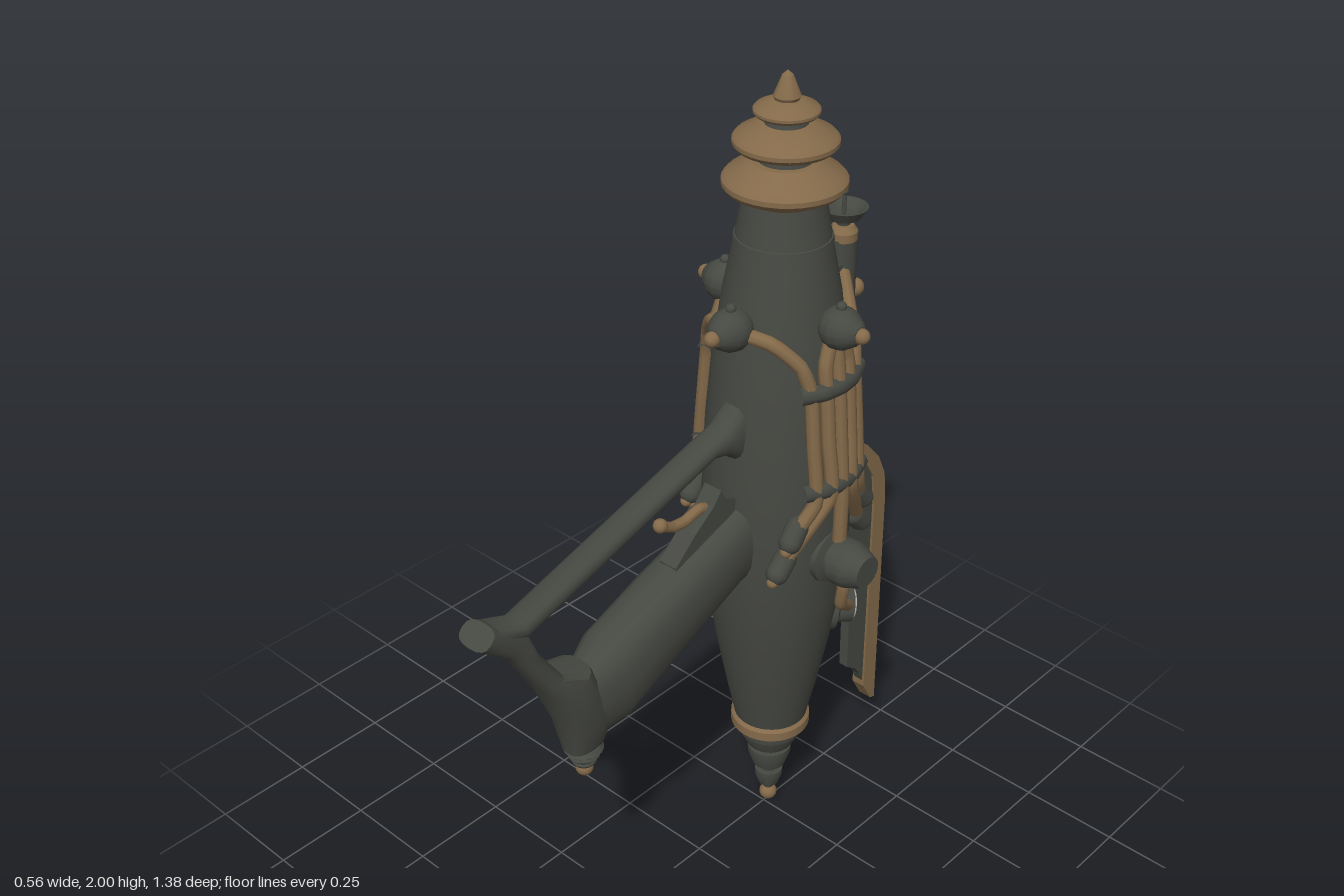
import * as THREE from 'three';
import { toCreasedNormals } from 'three/addons/utils/BufferGeometryUtils.js';

const mat = (name, color, side = THREE.FrontSide) => {
  const m = new THREE.MeshStandardMaterial({ color, side });
  m.name = name;
  return m;
};
const V = (x, y, z) => new THREE.Vector3(x, y, z);

// Hull radius against height
const HULL = [[0.09, 0.3], [0.115, 0.42], [0.143, 0.57], [0.165, 0.72], [0.176, 0.88], [0.176, 1.02],
  [0.169, 1.18], [0.155, 1.34], [0.133, 1.5], [0.107, 1.63], [0.09, 1.73]];
function hullRadius(y) {
  let i = 1;
  while (i < HULL.length - 1 && HULL[i][1] < y) i++;
  const [r0, y0] = HULL[i - 1], [r1, y1] = HULL[i];
  return r0 + (r1 - r0) * (y - y0) / (y1 - y0);
}
// Point near the hull's side, o = offset towards the front, lift = height above the skin
function onHull(s, o, y, lift = 0.015) {
  const r = hullRadius(y) + lift;
  return V(s * Math.sqrt(Math.max(r * r - o * o, 0)), y, o);
}

export function createModel() {
  const dark = mat('gunmetal', 0x464842);
  const brass = mat('brass', 0x846a4a);
  const silver = mat('silver', 0xaaa49f);
  const model = new THREE.Group();
  model.name = 'rayGun';
  const core = new THREE.Group();
  core.name = 'barrelAssembly';
  core.position.z = -0.267;
  model.add(core);

  const add = (parent, name, geo, material) => {
    const m = new THREE.Mesh(geo, material);
    m.name = name;
    parent.add(m);
    return m;
  };
  const lathe = (parent, name, pts, material, seg = 32) =>
    add(parent, name, toCreasedNormals(new THREE.LatheGeometry(pts.map(p => new THREE.Vector2(...p)), seg), 0.5), material);
  const aim = (mesh, pos, dir) => {
    mesh.position.copy(pos);
    mesh.quaternion.setFromUnitVectors(V(0, 1, 0), dir.clone().normalize());
    return mesh;
  };
  const ball = (parent, name, r, pos, material) => {
    const m = add(parent, name, new THREE.SphereGeometry(r, 16, 12), material);
    m.position.copy(pos);
    return m;
  };
  const pipe = (parent, name, pts, r, material) =>
    add(parent, name, new THREE.TubeGeometry(new THREE.CatmullRomCurve3(pts, false, 'catmullrom', 0.25), 28, r, 8), material);

  // Hull and its seam
  lathe(core, 'hull', [[0, 0.3], ...HULL, [0, 1.73]], dark, 40);
  lathe(core, 'hullSeam', [[0.1, 1.622], [0.111, 1.624], [0.109, 1.636], [0.1, 1.638]], dark, 40);

  // Stacked brass discs on the muzzle
  lathe(core, 'muzzleCore', [[0.085, 1.7], [0.06, 1.8], [0.045, 1.9], [0.02, 1.95], [0, 1.95]], dark);
  for (const [y, r, h, neck] of [[1.76, 0.137, 0.045, 0.075], [1.85, 0.115, 0.037, 0.055], [1.915, 0.072, 0.023, 0.035]])
    lathe(core, 'muzzleDisc', [[0, y - h], [neck, y - h], [r * 0.93, y - h * 0.4], [r, y - h * 0.15], [r, y + h * 0.1],
      [r * 0.93, y + h * 0.35], [neck, y + h], [0, y + h]], brass);
  lathe(core, 'muzzleTip', [[0, 1.93], [0.025, 1.935], [0.03, 1.945], [0.012, 1.99], [0, 2]], brass, 20);

  // Stepped tail
  lathe(core, 'tailCollar', [[0, 0.272], [0.092, 0.272], [0.1, 0.278], [0.1, 0.302], [0.092, 0.31], [0, 0.31]], brass);
  lathe(core, 'tailStem', [[0, 0.03], [0.012, 0.04], [0.02, 0.1], [0.035, 0.2], [0.06, 0.275]], dark);
  for (const [y0, y1, r0, r1] of [[0.205, 0.265, 0.06, 0.08], [0.132, 0.19, 0.043, 0.056], [0.06, 0.108, 0.026, 0.036]])
    lathe(core, 'tailStep', [[0, y0], [r0, y0], [r1, y1 - 0.018], [r1, y1], [0, y1]], dark, 24);
  ball(core, 'tailBead', 0.023, V(0, 0.023, 0), brass);

  // Bulbs around the shoulder
  const bulb = (name, dir) => {
    const g = new THREE.Group();
    g.name = name;
    core.add(g);
    lathe(g, 'bulbBody', [[0, 0.1], [0.032, 0.1], [0.032, 0.128], [0.045, 0.145], [0.05, 0.168], [0.045, 0.19],
      [0.03, 0.213], [0.02, 0.222], [0, 0.222]], dark, 16);
    ball(g, 'bulbTip', 0.018, V(0, 0.227, 0), brass);
    aim(g, V(0, 1.465, 0), dir);
    ball(core, 'bulbStud', 0.012, dir.clone().multiplyScalar(0.168).setY(1.516), dark);
  };
  bulb('frontBulb', V(0, 0, 1));

  for (const s of [1, -1]) {
    bulb('sideBulb', V(s, 0, 0));

    // Side pod
    aim(lathe(core, 'sidePod', [[0, 0.13], [0.068, 0.14], [0.068, 0.178], [0.045, 0.185], [0.045, 0.195], [0.058, 0.2],
      [0.058, 0.235], [0.04, 0.28], [0, 0.28]], dark, 16), V(0, 0.868, 0), V(s, 0, 0));

    // Five pipes per side with their lower nozzles
    const ends = [[0.118, 0.975], [0.138, 0.89], [0, 0.92], [-0.138, 0.89], [-0.118, 0.975]];
    ends.forEach(([eo, ey], i) => {
      const o = (2 - i) * 0.037;
      let top;
      if (i === 0) top = [V(0, 1.462, 0.165), onHull(s, 0.13, 1.445), onHull(s, 0.09, 1.39)];
      else if (i === 4) top = [V(s * 0.02, 1.475, -0.19), onHull(s, -0.13, 1.45), onHull(s, -0.09, 1.39)];
      else top = [onHull(s, o * 0.3, 1.45), onHull(s, o, 1.38)];
      const knee = onHull(s, o, 1.055, 0.02), end = onHull(s, eo, ey, 0.018);
      pipe(core, 'sidePipe', [...top, onHull(s, o, 1.32), onHull(s, o, 1.19), knee, end], 0.017, brass);
      if (i !== 2) {
        const dir = end.clone().sub(knee).normalize().add(V(end.x, 0, end.z).multiplyScalar(2));
        aim(add(core, 'pipeNozzle', new THREE.CapsuleGeometry(0.027, 0.04, 4, 12), dark), end, dir);
        ball(core, 'nozzleTip', 0.014, end.clone().addScaledVector(dir.normalize(), 0.043), brass);
      }
    });
    for (const y of [1.325, 1.08])
      pipe(core, 'pipeBand', [-0.1, -0.05, 0, 0.05, 0.1].map(o => onHull(s, o, y, 0.018)), 0.021, dark);

    // Rear gauge and its feed pipe
    const out = V(s * 0.643, -0.12, -0.766), centre = V(0, 0.645, 0);
    aim(lathe(core, 'gaugeCase', [[0, 0.1], [0.068, 0.12], [0.066, 0.152], [0.048, 0.16], [0.046, 0.196], [0.04, 0.198], [0, 0.198]],
      dark, 24), centre, out);
    aim(lathe(core, 'gaugeFace', [[0, 0.196], [0.038, 0.196], [0.038, 0.202], [0, 0.203]], silver, 24), centre, out);
    pipe(core, 'gaugePipe', [V(s * 0.21, 0.84, 0), V(s * 0.212, 0.79, 0), V(s * 0.2, 0.735, -0.01),
      V(s * 0.172, 0.68, -0.075), V(s * 0.125, 0.63, -0.125)], 0.015, brass);
  }

  // Sighting tube with dish and aerial at the back
  const sight = new THREE.Group();
  sight.name = 'sight';
  sight.position.z = -0.475;
  model.add(sight);
  lathe(sight, 'sightTube', [[0, 1.2], [0.025, 1.205], [0.033, 1.225], [0.024, 1.245], [0.024, 1.26], [0.034, 1.27],
    [0.034, 1.555], [0, 1.555]], dark, 20);
  lathe(sight, 'sightCollar', [[0, 1.55], [0.034, 1.55], [0.034, 1.57], [0.024, 1.585], [0, 1.585]], brass, 20);
  lathe(sight, 'sightDish', [[0.012, 1.57], [0.016, 1.593], [0.04, 1.603], [0.055, 1.628], [0.05, 1.628], [0.03, 1.612], [0, 1.608]], dark, 24);
  lathe(sight, 'aerial', [[0, 1.6], [0.005, 1.6], [0.005, 1.655], [0, 1.66]], dark, 8);
  ball(sight, 'aerialTip', 0.009, V(0, 1.663, 0), dark);
  ball(sight, 'sightKnob', 0.022, V(0, 1.407, -0.054), brass);
  add(sight, 'sightBracket', new THREE.BoxGeometry(0.045, 0.07, 0.12), dark).position.set(0, 1.465, 0.055);

  // Loft from side-view chords [z1, y1, z2, y2, halfWidth] with rounded sections
  const loft = (name, rows) => {
    const N = 16, pos = [], idx = [];
    const rnd = v => Math.sign(v) * Math.pow(Math.abs(v), 0.75);
    for (const [z1, y1, z2, y2, w] of rows)
      for (let j = 0; j < N; j++) {
        const a = j / N * Math.PI * 2, k = rnd(Math.sin(a)) / 2;
        pos.push(w * rnd(Math.cos(a)), (y1 + y2) / 2 + (y2 - y1) * k, (z1 + z2) / 2 + (z2 - z1) * k);
      }
    const last = (rows.length - 1) * N;
    for (let j = 0; j < N; j++) {
      const n = (j + 1) % N;
      for (let b = 0; b < last; b += N) idx.push(b + j, b + n, b + N + n, b + j, b + N + n, b + N + j);
      if (j > 0 && j < N - 1) idx.push(0, n, j, last, last + j, last + n);
    }
    const g = new THREE.BufferGeometry();
    g.setAttribute('position', new THREE.Float32BufferAttribute(pos, 3));
    g.setIndex(idx);
    return add(model, name, toCreasedNormals(g, 0.7), dark);
  };

  // Grip, butt and upper brace forming the stock loop
  loft('grip', [[-0.16, 0.82, -0.16, 1.05, 0.068], [-0.08, 0.81, -0.08, 1.01, 0.072], [0.14, 0.715, 0.14, 0.935, 0.078],
    [0.29, 0.64, 0.32, 0.868, 0.076], [0.4, 0.62, 0.42, 0.8, 0.045]]);
  loft('butt', [[0.436, 0.605, 0.336, 0.605, 0.036], [0.457, 0.705, 0.31, 0.69, 0.058], [0.505, 0.815, 0.38, 0.84, 0.058],
    [0.535, 0.87, 0.458, 0.858, 0.046], [0.585, 0.95, 0.52, 0.95, 0.042], [0.61, 0.985, 0.552, 1.03, 0.042],
    [0.688, 1.048, 0.642, 1.087, 0.045]]);
  loft('brace', [[-0.14, 1.11, -0.14, 1.3, 0.042], [-0.1, 1.14, -0.1, 1.27, 0.041], [-0.065, 1.168, -0.065, 1.238, 0.038],
    [-0.02, 1.18, -0.02, 1.225, 0.036], [0.553, 1.01, 0.565, 1.055, 0.036], [0.63, 1.03, 0.63, 1.08, 0.04]]);

  // Stepped foot under the butt
  const foot = new THREE.Group();
  foot.name = 'buttFoot';
  foot.position.z = 0.386;
  model.add(foot);
  for (const [y, r] of [[0.594, 0.047], [0.575, 0.038], [0.556, 0.029]])
    lathe(foot, 'footRing', [[0, y - 0.007], [r * 0.85, y - 0.007], [r, y], [r * 0.85, y + 0.009], [0, y + 0.009]], dark, 20);
  add(foot, 'footStem', new THREE.CylinderGeometry(0.025, 0.014, 0.09, 12), dark).position.y = 0.575;
  ball(foot, 'footBead', 0.021, V(0, 0.534, 0), brass);

  // Plates cut in the side plane (z, y)
  const plate = (name, pts, thick, material) => {
    const shape = new THREE.Shape(pts.map(p => new THREE.Vector2(...p)));
    const g = new THREE.ExtrudeGeometry(shape, { depth: thick, bevelEnabled: false });
    g.translate(0, 0, -thick / 2).rotateY(-Math.PI / 2);
    return add(model, name, g, material);
  };

  // Trigger and its housing
  plate('triggerHousing', [[-0.12, 0.92], [0.1, 0.93], [0.105, 0.95], [0.04, 1.01], [-0.02, 1.055], [-0.045, 1.088], [-0.06, 1.06], [-0.12, 1.03]], 0.05, dark);
  pipe(model, 'trigger', [V(0, 1.03, -0.05), V(0, 1.05, 0), V(0, 1.04, 0.05), V(0, 1.045, 0.09), V(0, 1.065, 0.127)], 0.013, brass);
  ball(model, 'triggerTip', 0.017, V(0, 1.067, 0.127), brass);

  // Rear fin with brass edge
  plate('fin', [[-0.36, 1.06], [-0.43, 1.05], [-0.5, 1], [-0.59, 0.93], [-0.635, 0.85], [-0.645, 0.76], [-0.645, 0.16], [-0.625, 0.21],
    [-0.6, 0.245], [-0.565, 0.27], [-0.56, 0.52], [-0.548, 0.56], [-0.515, 0.583], [-0.46, 0.58], [-0.42, 0.555], [-0.39, 0.52],
    [-0.36, 0.52]], 0.026, dark);
  plate('finEdge', [[-0.42, 1.07], [-0.5, 1.02], [-0.59, 0.957], [-0.64, 0.9], [-0.668, 0.84], [-0.677, 0.76], [-0.687, 0.1], [-0.67, 0.105],
    [-0.636, 0.165], [-0.632, 0.76], [-0.622, 0.85], [-0.58, 0.92], [-0.5, 0.985], [-0.42, 1.035]], 0.038, brass);
  return model;
}
